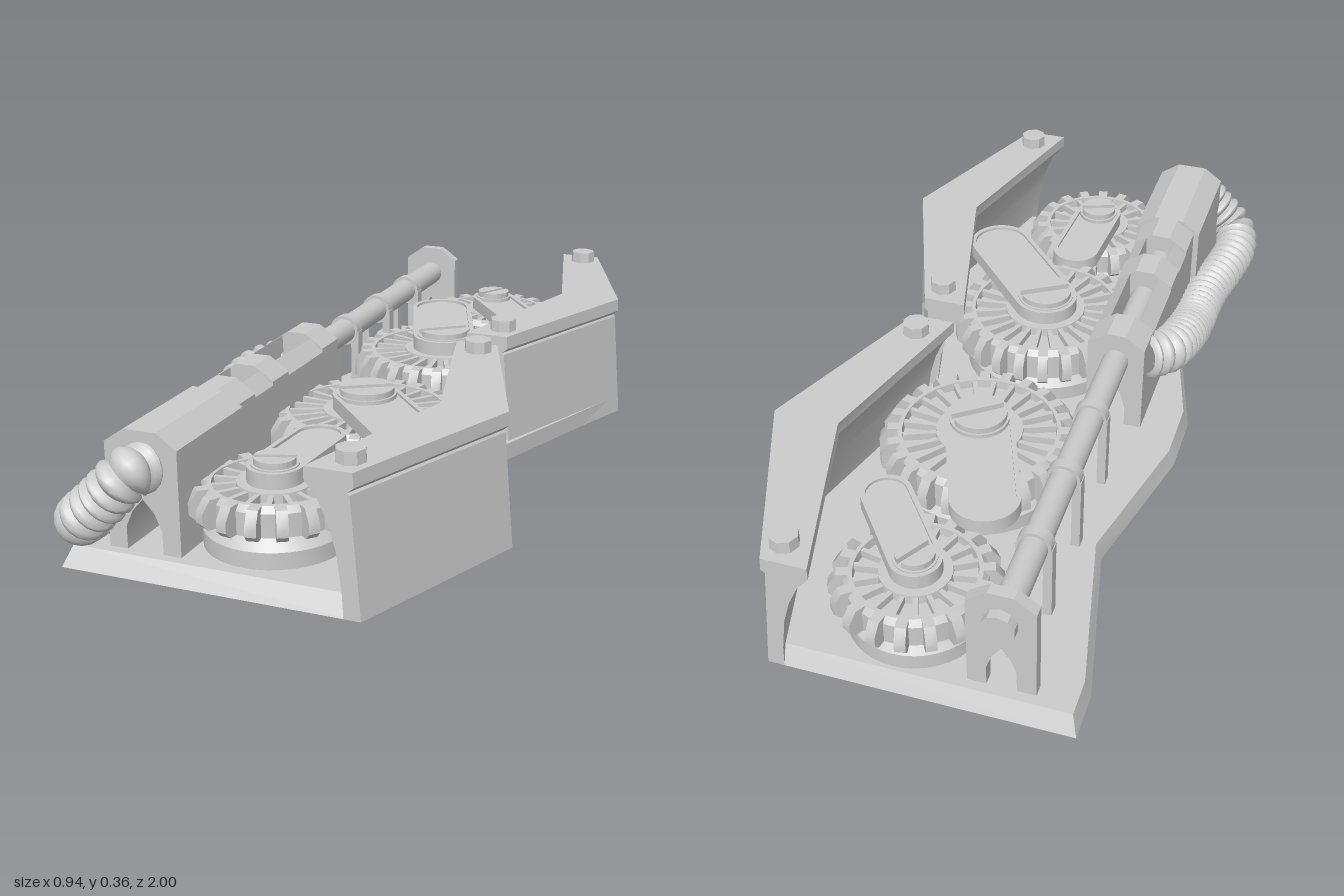
import * as THREE from 'three';
import { toCreasedNormals } from 'three/addons/utils/BufferGeometryUtils.js';

const mat = new THREE.MeshStandardMaterial({ color: 0xcccccc });

function add(parent, name, geo, x = 0, y = 0, z = 0) {
  const m = new THREE.Mesh(toCreasedNormals(geo, 0.6), mat);
  m.name = name;
  m.position.set(x, y, z);
  parent.add(m);
  return m;
}
const shapeOf = pts => new THREE.Shape(pts.map(p => new THREE.Vector2(...p)));
const extrude = (shape, depth, opts = {}) =>
  new THREE.ExtrudeGeometry(shape, { depth, bevelEnabled: false, curveSegments: 14, ...opts });
// Plan shapes use (x, -z) and are extruded upwards
const plan = (shape, h) => extrude(shape, h).rotateX(-Math.PI / 2);

// Stadium outline starting at the origin and running along +x
function stadium(len, r) {
  const s = new THREE.Shape();
  s.absarc(0, 0, r, Math.PI / 2, Math.PI * 1.5);
  s.absarc(len, 0, r, -Math.PI / 2, Math.PI / 2);
  s.closePath();
  return s;
}

// Gears: centre, radius, top height, tooth count, link end, link radius, screw slot angle
const gears = [
  { x: 0, z: -0.8, r: 0.2, top: 0.19, n: 18, ex: 0.14, ez: -0.62, lr: 0.062, slot: 1.05 },
  { x: 0.015, z: -0.31, r: 0.25, top: 0.205, n: 24, ex: -0.09, ez: -0.58, lr: 0.085, slot: 0.65 },
  { x: 0.01, z: 0.24, r: 0.25, top: 0.205, n: 24, ex: 0.21, ez: 0.46, lr: 0.085, slot: 0.55 },
  { x: -0.01, z: 0.72, r: 0.2, top: 0.19, n: 18, ex: 0, ez: 0.51, lr: 0.065, slot: 0.35 },
];
const linkAngle = g => Math.atan2(g.z - g.ez, g.ex - g.x);

function basePlate(group) {
  const s = shapeOf([[-0.435, 1], [0.29, 1], [0.465, 0.535], [0.285, 0.03], [0.465, -0.48], [0.29, -0.945],
    [-0.435, -0.945], [-0.435, -0.86], [-0.345, -0.42], [-0.435, -0.1], [-0.435, 0.07], [-0.345, 0.46], [-0.435, 0.88]]);
  // Barbell slots under the two large gears
  for (const g of [gears[1], gears[2]]) {
    const half = [[0.17, -0.015], [0.17, 0.015], [0.145, 0.015], [0.145, 0.04], [0.11, 0.04], [0.11, 0.015]];
    const pts = [...half, ...half.map(([a, b]) => [-a, b]).reverse()];
    pts.push([-0.145, -0.015], [-0.145, -0.04], [-0.11, -0.04], [-0.11, -0.015],
      [0.11, -0.015], [0.11, -0.04], [0.145, -0.04], [0.145, -0.015]);
    const c = new THREE.Vector2();
    s.holes.push(new THREE.Path(pts.map(p =>
      new THREE.Vector2(...p).rotateAround(c, linkAngle(g)).add(new THREE.Vector2(g.x, -g.z)))));
  }
  const geo = plan(s, 0.045);
  // Sloped ends and left edge
  const p = geo.attributes.position;
  for (let i = 0; i < p.count; i++) if (p.getY(i) > 0.02) {
    if (p.getX(i) < -0.3) p.setX(i, p.getX(i) + 0.015);
    if (p.getZ(i) > 0.9) p.setZ(i, 0.915);
    if (p.getZ(i) < -0.99) p.setZ(i, -0.975);
  }
  geo.computeVertexNormals();
  add(group, 'basePlate', geo);
}

function sideWall(group, z0, z1) {
  const wall = new THREE.Group();
  wall.name = 'sideWall';
  const section = shapeOf([[0.25, 0], [0.29, 0], [0.267, 0.28], [0.262, 0.285], [0.276, 0.297], [0.274, 0.33],
    [0.165, 0.33], [0.165, 0.3], [0.195, 0.262], [0.218, 0.21], [0.235, 0.15], [0.247, 0.06]]);
  const geo = extrude(section, z1 - z0, { steps: 2 }).translate(0, 0, z0);
  // Push the middle section outwards to make the angled wall
  const p = geo.attributes.position, mid = (z0 + z1) / 2;
  for (let i = 0; i < p.count; i++)
    if (Math.abs(p.getZ(i) - mid) < 0.05) p.setX(i, p.getX(i) + (p.getX(i) > 0.255 ? 0.18 : 0.125));
  geo.computeVertexNormals();
  add(wall, 'wallPanel', geo);
  for (const z of [z0 + 0.06, z1 - 0.065])
    add(wall, 'wallBolt', new THREE.CylinderGeometry(0.034, 0.036, 0.05, 8), 0.243, 0.335, z);
  group.add(wall);
}

function ringOfTeeth(parent, name, r, y0, y1, n, width) {
  const s = shapeOf([[r - 0.05, y0], [r - 0.015, y0], [r, y0 + 0.015], [r, y1 - 0.03], [r - 0.02, y1], [r - 0.05, y1]]);
  const geo = extrude(s, width).translate(0, 0, -width / 2);
  for (let i = 0; i < n; i++) add(parent, name, geo).rotation.y = (i / n) * Math.PI * 2;
}

function gear(group, g) {
  const G = new THREE.Group(), R = g.r - 0.035, t = g.top;
  G.name = 'gear';
  G.position.set(g.x, 0, g.z);
  // Dished body with a raised rim and hub
  const prof = [[0, 0.045], [R, 0.045], [R, 0.085], [R - 0.025, 0.118], [R, 0.12], [R, t - 0.015], [R - 0.012, t],
    [R - 0.022, t], [R - 0.024, t - 0.022], [g.lr + 0.025, t - 0.022], [g.lr + 0.023, t], [0, t]];
  add(G, 'gearBody', new THREE.LatheGeometry(prof.map(p => new THREE.Vector2(...p)), 40));
  ringOfTeeth(G, 'gearTooth', g.r, 0.12, t, g.n, 0.026);
  // Radial ribs
  const a = g.lr + 0.022, len = R - 0.02 - a;
  const rib = new THREE.BoxGeometry(len, 0.022, 0.012).translate(a + len / 2, t - 0.014, 0);
  for (let i = 0; i < g.n; i++) add(G, 'gearRib', rib).rotation.y = ((i + 0.5) / g.n) * Math.PI * 2;

  // Link arm with a raised border
  const len2 = Math.hypot(g.ex - g.x, g.ez - g.z), arm = new THREE.Group();
  arm.name = 'linkArm';
  arm.rotation.y = linkAngle(g);
  add(arm, 'linkPlate', plan(stadium(len2, g.lr), 0.03), 0, t, 0);
  const rim = stadium(len2, g.lr);
  rim.holes.push(new THREE.Path(stadium(len2, g.lr - 0.012).getPoints(14)));
  add(arm, 'linkRim', plan(rim, 0.037), 0, t, 0);
  G.add(arm);

  // Slotted screw
  const screw = new THREE.Group(), sr = g.lr - 0.01;
  screw.name = 'slottedScrew';
  screw.rotation.y = g.slot;
  add(screw, 'screwBase', new THREE.CylinderGeometry(sr, sr, 0.04, 28), 0, t + 0.02, 0);
  for (const side of [0, Math.PI]) {
    const s = new THREE.Shape();
    s.absarc(0, 0, sr - 0.006, 0.16, Math.PI - 0.16);
    s.closePath();
    add(screw, 'screwHalf', plan(s, 0.02), 0, t + 0.035, 0).rotation.y = side;
  }
  G.add(screw);
  group.add(G);
}

// Upright bracket outline with an arched opening between two legs; open = no roof over the rod
function archShape(w, open = false) {
  const h = w / 2, leg = h - 0.045;
  const roof = open
    ? [[h, 0.285], [0.04, 0.318], [0.036, 0.2], [-0.036, 0.2], [-0.04, 0.318], [-h, 0.285]]
    : [[h, 0.295], [h - 0.05, 0.33], [-h + 0.05, 0.33], [-h, 0.295]];
  return shapeOf([[h, 0.04], ...roof, [-h, 0.04], [-leg, 0.04], [-leg, 0.1], [-leg * 0.6, 0.14],
    [0, 0.17], [leg * 0.6, 0.14], [leg, 0.1], [leg, 0.04]]);
}

function rodAssembly(group) {
  const rod = new THREE.Group();
  rod.name = 'rodAssembly';
  rod.position.x = -0.25;
  const cyl = (r, l, sides = 20) => new THREE.CylinderGeometry(r, r, l, sides).rotateX(Math.PI / 2);
  add(rod, 'rod', cyl(0.034, 1.7), 0, 0.25, -0.11);
  add(rod, 'rodEndCap', cyl(0.04, 0.03, 10), 0, 0.25, -0.96);
  add(rod, 'rearBracket', extrude(archShape(0.16), 0.03), 0, 0, -0.95);
  // Rod stands: collar and two legs
  for (const z of [-0.7, -0.465, -0.23]) {
    add(rod, 'rodCollar', cyl(0.042, 0.03), 0, 0.25, z);
    for (const s of [-1, 1]) add(rod, 'standLeg', new THREE.BoxGeometry(0.022, 0.21, 0.03), s * 0.033, 0.145, z);
  }
  // Housing in sections, two of them open on top to show the rod
  const sections = [[0, 0.095, 0.15], [0.095, 0.3, 0.15, true], [0.3, 0.39, 0.15], [0.39, 0.485, 0.15, true],
    [0.485, 0.58, 0.15], [0.58, 0.89, 0.18]];
  for (const [a, b, w, open] of sections)
    add(rod, 'housingSection', extrude(archShape(w, open), b - a), 0, 0, a);
  group.add(rod);
}

function hose(group) {
  const path = new THREE.CatmullRomCurve3([[-0.25, 0.245, 0.87], [-0.265, 0.24, 0.92], [-0.32, 0.18, 0.935],
    [-0.385, 0.12, 0.925], [-0.408, 0.1, 0.86], [-0.4, 0.095, 0.75], [-0.375, 0.1, 0.6], [-0.372, 0.12, 0.42],
    [-0.375, 0.18, 0.25], [-0.355, 0.22, 0.12], [-0.31, 0.235, 0.06]].map(p => new THREE.Vector3(...p)));
  const beads = 36, steps = beads * 8, radial = 18;
  const geo = new THREE.TubeGeometry(path, steps, 1, radial);
  // Scale each ring about the path to form round ribs
  const p = geo.attributes.position, v = new THREE.Vector3(), c = new THREE.Vector3();
  for (let i = 0; i <= steps; i++) {
    path.getPointAt(i / steps, c);
    const r = 0.046 + 0.016 * Math.abs(Math.sin((i / 8) * Math.PI));
    for (let j = 0; j <= radial; j++) {
      const k = i * (radial + 1) + j;
      v.fromBufferAttribute(p, k).sub(c).multiplyScalar(r).add(c);
      p.setXYZ(k, v.x, v.y, v.z);
    }
  }
  geo.computeVertexNormals();
  add(group, 'ribbedHose', geo);
}

export function createModel() {
  const model = new THREE.Group();
  model.name = 'gearPanel';
  basePlate(model);
  sideWall(model, -1, -0.07);
  sideWall(model, 0.01, 0.945);
  gears.forEach(g => gear(model, g));
  // Low idler gear between the two front gears
  const idler = new THREE.Group();
  idler.name = 'idlerGear';
  idler.position.set(0.02, 0, 0.54);
  add(idler, 'idlerBody', new THREE.CylinderGeometry(0.17, 0.17, 0.055, 32), 0, 0.0725, 0);
  ringOfTeeth(idler, 'idlerTooth', 0.21, 0.045, 0.1, 18, 0.03);
  model.add(idler);
  rodAssembly(model);
  hose(model);
  return model;
}
